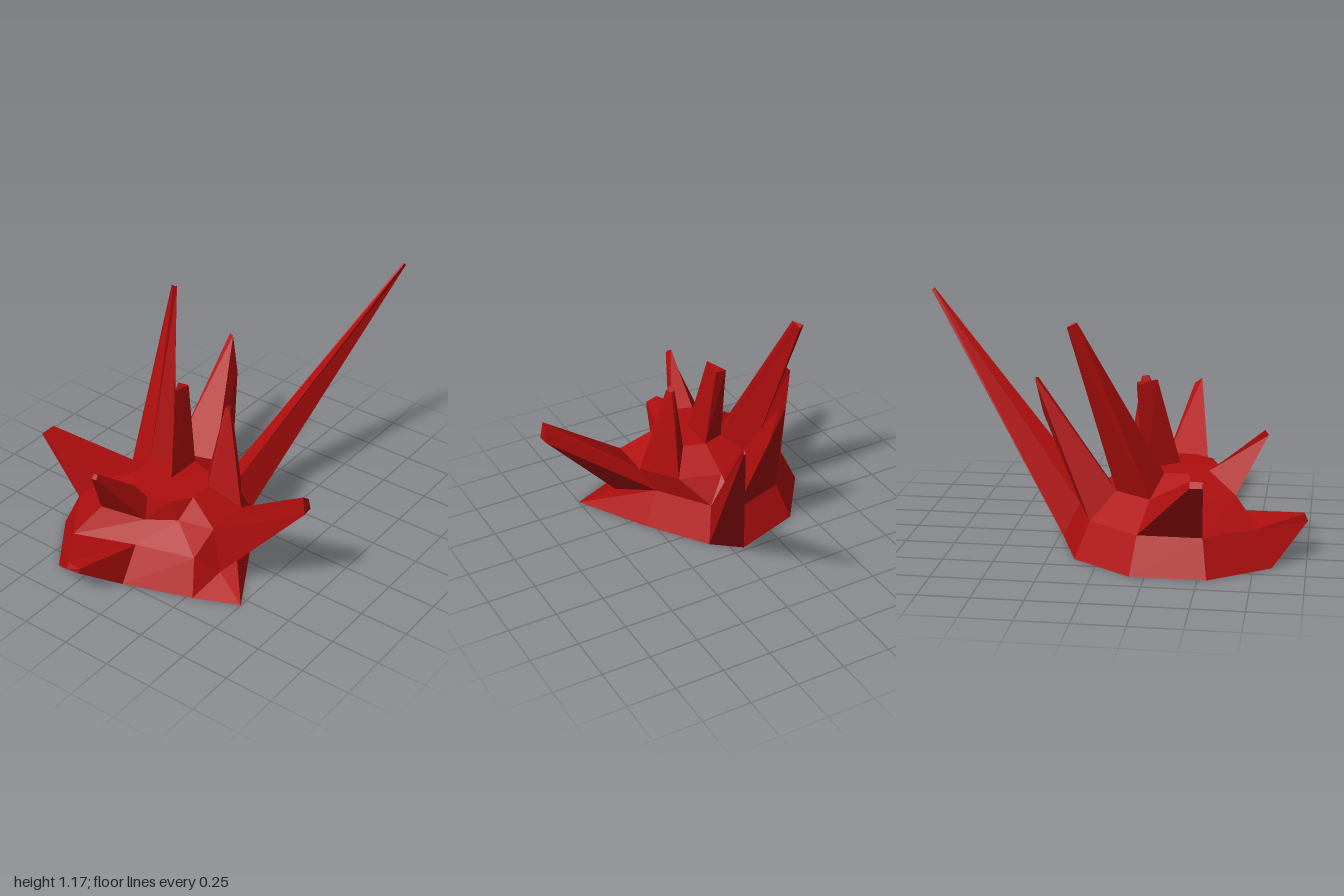
import * as THREE from 'three';

const material = new THREE.MeshStandardMaterial({
  color: 0xb00e0e, flatShading: true, side: THREE.DoubleSide,
});
const SIDES = 10;
const CX = -0.36, CZ = -0.06;

// Ten-sided ring of the dome; index 0 faces +x, then runs round the back
function ring(radius, y, moved = {}) {
  return Array.from({ length: SIDES }, (_, i) => {
    const a = (i / SIDES) * Math.PI * 2;
    return moved[i] ?? [CX + radius * Math.cos(a), y, CZ - radius * Math.sin(a)];
  });
}

// Dome rings from the ground up, with the uneven front corners pushed in or out
const rings = [
  ring(0.59, 0, {
    5: [-0.76, 0, -0.06], 6: [-0.64, 0, 0.28], 7: [-0.545, 0, 0.5],
    8: [-0.18, 0, 0.29], 9: [0.12, 0, 0.08],
  }),
  ring(0.505, 0.18, {
    5: [-0.65, 0.175, -0.06], 6: [-0.56, 0.17, 0.23], 7: [-0.47, 0.07, 0.32],
    8: [-0.21, 0.18, 0.21], 9: [0.05, 0.18, 0.03],
  }),
  ring(0.36, 0.315, { 5: [-0.57, 0.28, -0.06], 6: [-0.5, 0.3, 0.09] }),
  ring(0.19, 0.405),
];
const pole = [CX, 0.41, CZ];

// Spikes grow out of one dome face each; tip corners follow the face corners
const spikes = [
  { name: 'longSideSpike', level: 0, side: 9,
    tip: [[0.998, 1.16, 0.405], [0.998, 1.165, 0.395], [0.985, 1.175, 0.395], [0.985, 1.175, 0.405]] },
  { name: 'lowSideSpike', level: 0, side: 4,
    tip: [[-1, 0.18, -0.2], [-0.985, 0.175, -0.135], [-0.98, 0.2, -0.135], [-0.985, 0.215, -0.2]] },
  { name: 'leftSpike', level: 1, side: 0,
    tip: [[0.31, 0.66, -0.15], [0.335, 0.84, -0.22], [0.335, 0.855, -0.215], [0.325, 0.85, -0.19]] },
  { name: 'backSpike', level: 1, side: 2,
    tip: [[-0.47, 0.485, -0.755], [-0.53, 0.485, -0.755], [-0.53, 0.51, -0.73], [-0.47, 0.51, -0.73]] },
  { name: 'frontSpike', level: 1, side: 7,
    tip: [[-0.4, 0.57, 0.755], [-0.345, 0.57, 0.75], [-0.355, 0.63, 0.745], [-0.395, 0.66, 0.74]] },
  { name: 'tallBackSpike', level: 2, side: 1,
    tip: [[0.145, 1.14, -0.41], [0.14, 1.15, -0.435], [0.1, 1.165, -0.395], [0.125, 1.165, -0.39]] },
  { name: 'rightSpike', level: 2, side: 4,
    tip: [[-0.8, 0.6, -0.19], [-0.795, 0.6, -0.165], [-0.78, 0.62, -0.17], [-0.78, 0.62, -0.19]] },
  { name: 'upperFrontSpike', level: 2, side: 8,
    tip: [[-0.175, 0.79, 0.16], [-0.14, 0.79, 0.145], [-0.145, 0.8, 0.13], [-0.18, 0.805, 0.135]] },
  { name: 'crownSpike', level: 3, side: 0,
    tip: [[-0.15, 0.825, -0.11], [-0.155, 0.82, -0.17], [-0.25, 0.84, -0.115]] },
];

// Corners of a dome face, counter-clockwise from outside
function faceCorners(level, i) {
  const j = (i + 1) % SIDES;
  const low = rings[level], high = rings[level + 1];
  return high ? [low[i], low[j], high[j], high[i]] : [low[i], low[j], pole];
}

// Flat-shaded mesh from a list of convex polygons
function polygonMesh(name, polygons) {
  const positions = [];
  for (const p of polygons) {
    for (let k = 1; k < p.length - 1; k++) positions.push(...p[0], ...p[k], ...p[k + 1]);
  }
  const geometry = new THREE.BufferGeometry();
  geometry.setAttribute('position', new THREE.Float32BufferAttribute(positions, 3));
  geometry.computeVertexNormals();
  const mesh = new THREE.Mesh(geometry, material);
  mesh.name = name;
  return mesh;
}

export function createModel() {
  const group = new THREE.Group();
  group.name = 'spikedDome';

  // Open-bottomed dome, leaving out the faces that carry spikes
  const domeFaces = [];
  for (let level = 0; level < rings.length; level++) {
    for (let i = 0; i < SIDES; i++) {
      if (!spikes.some((s) => s.level === level && s.side === i)) domeFaces.push(faceCorners(level, i));
    }
  }
  group.add(polygonMesh('dome', domeFaces));

  // Spikes: side walls from the face outline to the tip, plus the tip cap
  for (const { name, level, side, tip } of spikes) {
    const base = faceCorners(level, side);
    const walls = base.map((corner, k) => {
      const next = (k + 1) % base.length;
      return [corner, base[next], tip[next], tip[k]];
    });
    group.add(polygonMesh(name, [...walls, tip]));
  }
  return group;
}
